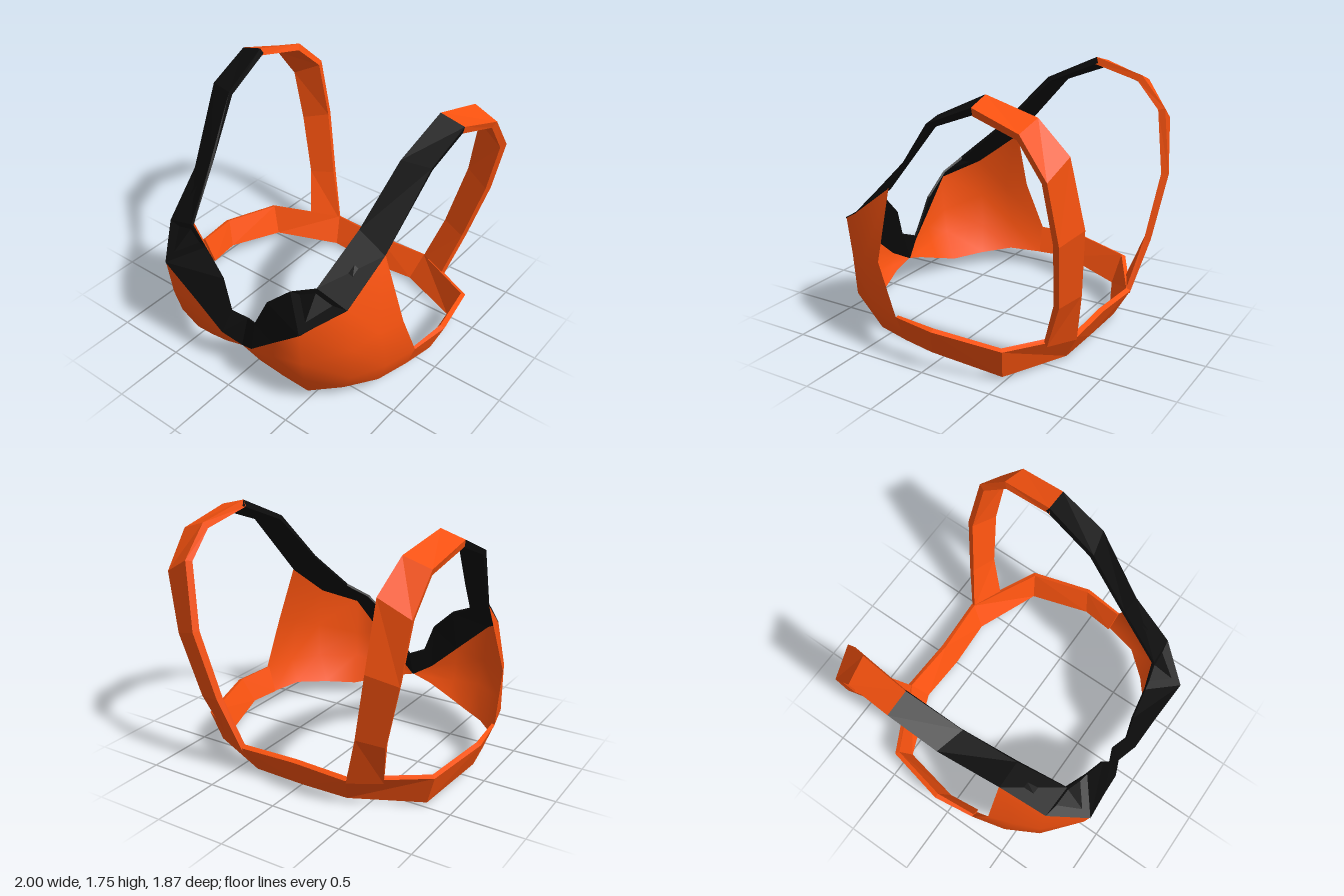
import * as THREE from 'three';

const orange = new THREE.MeshStandardMaterial({ color: 0xf8520f, flatShading: true, side: THREE.DoubleSide });
const cupOrange = new THREE.MeshStandardMaterial({ color: 0xf8520f, side: THREE.DoubleSide });
const black = new THREE.MeshStandardMaterial({ color: 0x0c0c0c, flatShading: true, side: THREE.DoubleSide });

// Places a point on one side of the body; the shoulder straps are slightly twisted
function place(p, s) {
  const height = THREE.MathUtils.clamp((p.y - 0.95) / 0.6, 0, 1);
  const twist = THREE.MathUtils.mapLinear(THREE.MathUtils.clamp(p.z, -0.85, -0.3), -0.85, -0.3, 0.03, -0.033);
  return [s * p.x + height * twist, p.y, p.z];
}

// Skins equal-length cross-sections; s = -1 mirrors and flips the winding
function skin(sections, s, closed) {
  const n = sections[0].length;
  const pos = sections.flat().flatMap((p) => place(p, s));
  const index = [];
  const quad = (a, b, c, d) => (s > 0 ? index.push(a, b, c, a, c, d) : index.push(a, c, b, a, d, c));
  for (let i = 0; i < sections.length - 1; i++) {
    for (let j = 0; j < (closed ? n : n - 1); j++) {
      const k = (j + 1) % n;
      quad(i * n + j, i * n + k, (i + 1) * n + k, (i + 1) * n + j);
    }
  }
  if (closed) {
    const e = (sections.length - 1) * n;
    quad(3, 2, 1, 0);
    quad(e, e + 1, e + 2, e + 3);
  }
  const g = new THREE.BufferGeometry();
  g.setAttribute('position', new THREE.Float32BufferAttribute(pos, 3));
  g.setIndex(index);
  g.computeVertexNormals();
  return g;
}

// Strip of fabric: each station is [edge, other edge, thickness towards the body]
function strip(stations, s) {
  const V = (p) => new THREE.Vector3(...p);
  const mid = (i) => V(stations[i][0]).add(V(stations[i][1])).multiplyScalar(0.5);
  const last = stations.length - 1;
  const sections = stations.map(([a, b, t], i) => {
    const along = mid(Math.min(i + 1, last)).sub(mid(Math.max(i - 1, 0)));
    const inward = along.cross(V(b).sub(V(a)));
    if (a[0] === 0) inward.x = 0;
    inward.setLength(t);
    return [V(a), V(b), V(b).add(inward), V(a).add(inward)];
  });
  return skin(sections, s, true);
}

// Neckline trim running up into the front of the shoulder strap
const trim = [
  [[0, 0.44, 0.78], [0, 0.25, 0.845], 0.015],
  [[0.1, 0.48, 0.82], [0.13, 0.33, 0.895], 0.015],
  [[0.19, 0.69, 0.79], [0.33, 0.51, 0.91], 0.015],
  [[0.36, 0.85, 0.76], [0.57, 0.73, 0.935], 0.015],
  [[0.53, 0.93, 0.71], [0.75, 0.86, 0.695], 0.02],
  [[0.62, 1.22, 0.39], [0.8, 1.1, 0.375], 0.02],
  [[0.7, 1.58, 0.07], [0.89, 1.57, 0.02], 0.035],
  [[0.735, 1.755, -0.3], [0.905, 1.71, -0.31], 0.045],
];

// Back of the shoulder strap, down to the band
const backStrap = [
  [[0.735, 1.755, -0.3], [0.905, 1.71, -0.31], 0.05],
  [[0.73, 1.67, -0.67], [0.91, 1.61, -0.65], 0.05],
  [[0.7, 1.47, -0.87], [0.9, 1.36, -0.83], 0.05],
  [[0.64, 1.02, -0.935], [0.83, 0.96, -0.865], 0.05],
  [[0.53, 0.55, -0.87], [0.71, 0.52, -0.81], 0.045],
  [[0.41, 0.18, -0.785], [0.63, 0.2, -0.69], 0.035],
];

// Band from the cup side round to the centre back: top edge, bottom edge
const band = [
  [[0.96, 0.31, 0.22], [0.89, 0.125, 0.2], 0.02],
  [[1, 0.3, -0.08], [0.93, 0.12, -0.03], 0.035],
  [[0.9, 0.24, -0.53], [0.83, 0.03, -0.49], 0.035],
  [[0.41, 0.2, -0.79], [0.36, 0.015, -0.69], 0.035],
  [[0, 0.2, -0.77], [0, 0, -0.68], 0.035],
];

// Cup columns from the centre front to the armhole, each from trim to hem
const cup = [
  [[0, 0.26, 0.84], [0, 0.255, 0.84], [0, 0.25, 0.84], [0, 0.245, 0.84]],
  [[0.13, 0.33, 0.89], [0.14, 0.28, 0.875], [0.15, 0.24, 0.86], [0.15, 0.2, 0.84]],
  [[0.33, 0.51, 0.905], [0.33, 0.38, 0.9], [0.33, 0.25, 0.87], [0.32, 0.14, 0.81]],
  [[0.57, 0.73, 0.93], [0.56, 0.46, 0.9], [0.54, 0.28, 0.86], [0.5, 0.08, 0.77]],
  [[0.75, 0.86, 0.69], [0.79, 0.55, 0.69], [0.78, 0.3, 0.68], [0.68, 0.105, 0.62]],
  [[0.795, 1.085, 0.385], [0.88, 0.63, 0.52], [0.9, 0.31, 0.46], [0.83, 0.13, 0.44]],
  [[0.8, 1.1, 0.37], [0.94, 0.65, 0.36], [0.96, 0.31, 0.22], [0.89, 0.125, 0.2]],
];

export function createModel() {
  const model = new THREE.Group();
  model.name = 'strappedTop';
  const cupSections = cup.map((col) => col.map((p) => new THREE.Vector3(...p)));
  for (const [side, s] of [['left', 1], ['right', -1]]) {
    const add = (name, geometry, material) => {
      const mesh = new THREE.Mesh(geometry, material);
      mesh.name = side + name;
      model.add(mesh);
    };
    add('Cup', skin(cupSections, s, false), cupOrange);
    add('NecklineTrim', strip(trim, s), black);
    add('BackStrap', strip(backStrap, s), orange);
    add('Band', strip(band, s), orange);
  }
  return model;
}
